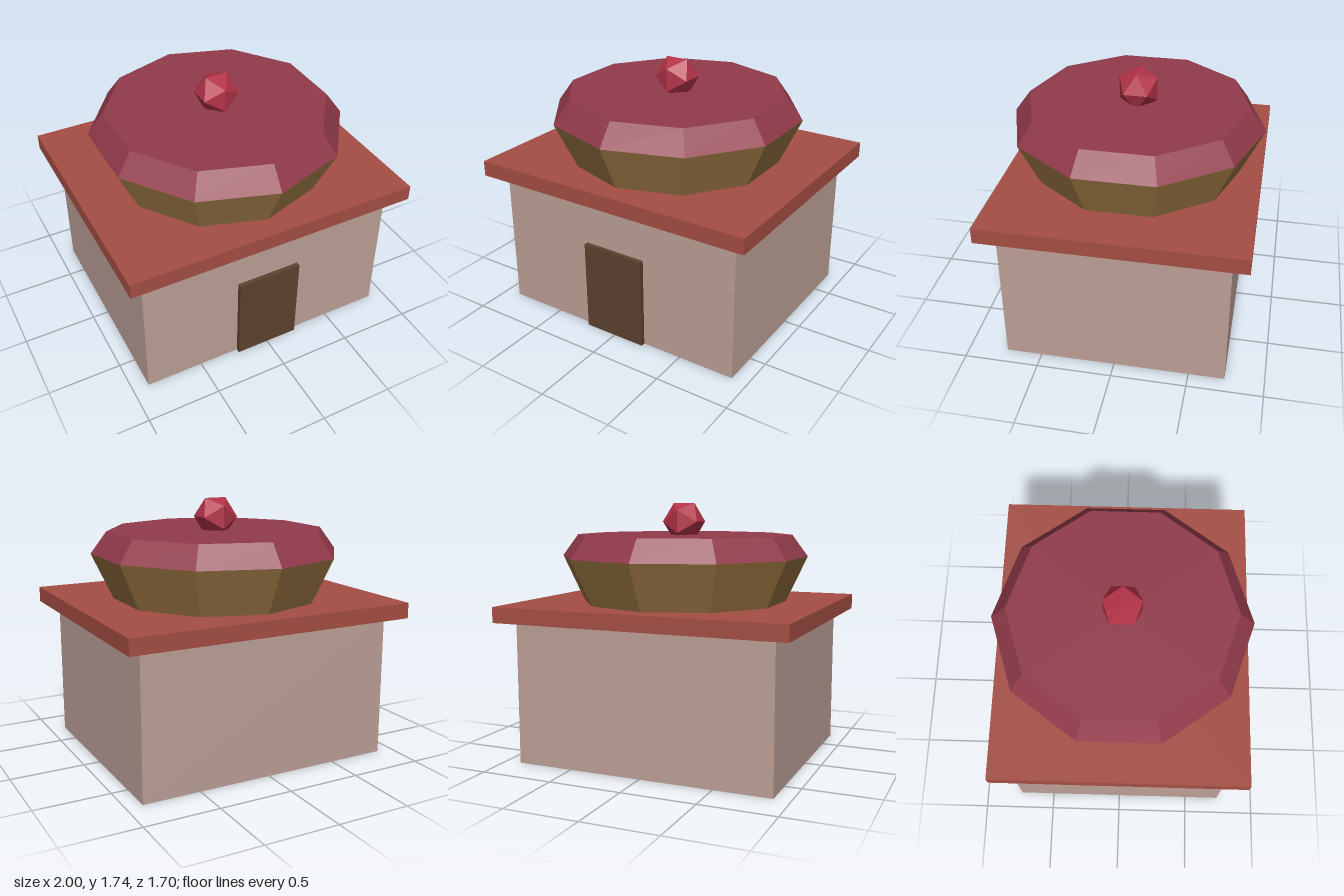
import * as THREE from 'three';

function material(name, color) {
  const m = new THREE.MeshStandardMaterial({ color });
  m.name = name;
  m.flatShading = true;
  return m;
}

export function createModel() {
  const group = new THREE.Group();
  group.name = 'domedHut';

  const plaster = material('plaster', 0xbca097);
  const tile = material('roofTile', 0xa54e43);
  const wood = material('doorWood', 0x5d422f);
  const ochre = material('ochre', 0x9e7844);
  const maroon = material('maroon', 0x913a4a);
  const crimson = material('crimson', 0xb43348);

  const add = (name, geometry, mat, y, z = 0) => {
    const mesh = new THREE.Mesh(geometry, mat);
    mesh.name = name;
    mesh.position.set(0, y, z);
    group.add(mesh);
  };
  // Box standing on height y0
  const box = (name, w, h, d, mat, y0, z) =>
    add(name, new THREE.BoxGeometry(w, h, d), mat, y0 + h / 2, z);
  // Ten-sided tapered drum standing on height y0
  const drum = (name, rTop, rBottom, h, mat, y0) =>
    add(name, new THREE.CylinderGeometry(rTop, rBottom, h, 10), mat, y0 + h / 2);

  // Building
  box('walls', 1.78, 0.965, 1.48, plaster, 0);
  box('roofSlab', 2, 0.105, 1.7, tile, 0.965);
  box('door', 0.446, 0.63, 0.06, wood, 0, 0.74);

  // Flared bowl with a bevelled cap and faceted knob
  drum('bowl', 0.85, 0.705, 0.31, ochre, 1.07);
  drum('cap', 0.742, 0.85, 0.147, maroon, 1.38);
  add('knob', new THREE.IcosahedronGeometry(0.147), crimson, 1.616);

  return group;
}
